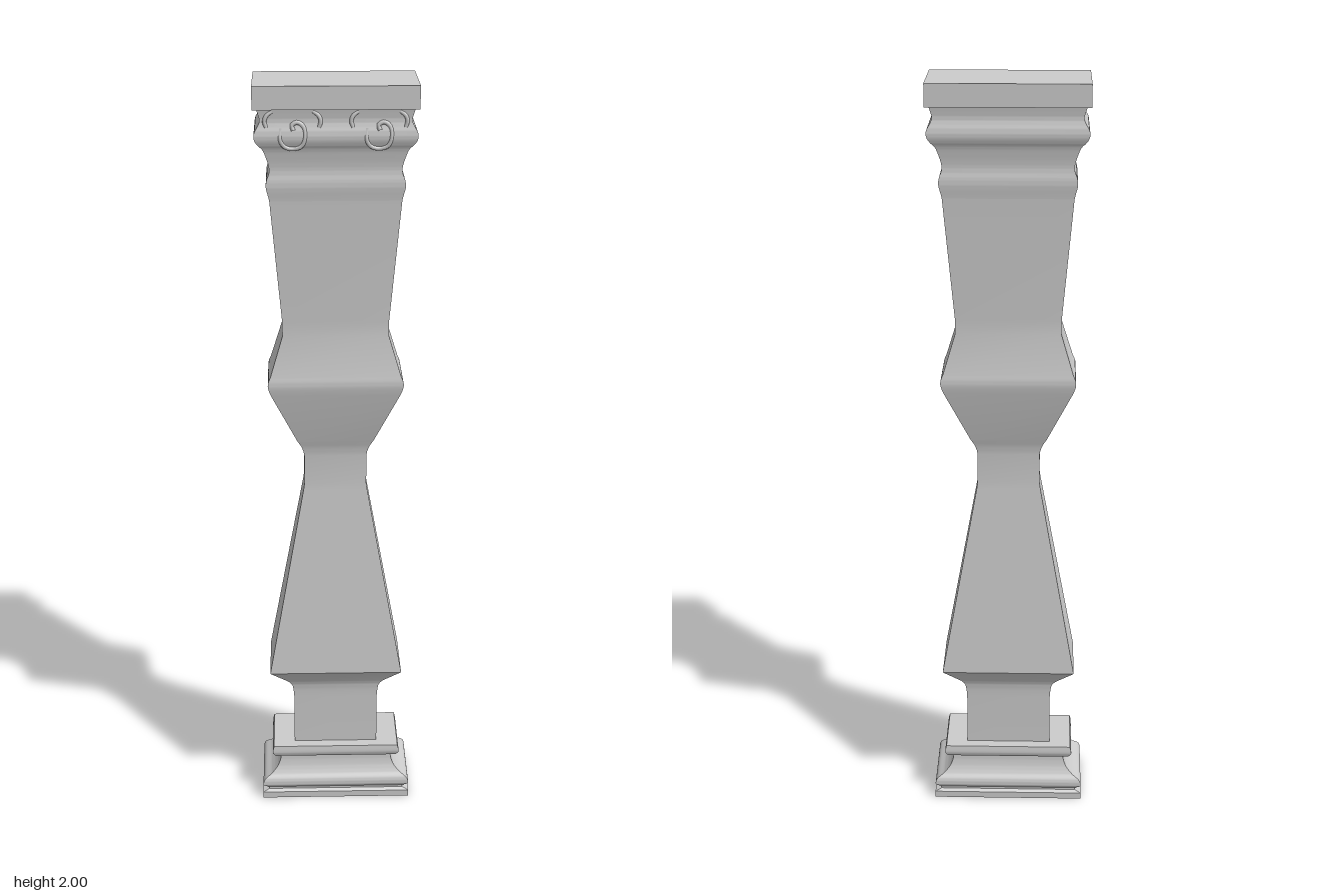
import * as THREE from 'three';
import { toCreasedNormals } from 'three/addons/utils/BufferGeometryUtils.js';

const DEPTH = 0.51; // depth of the rectangular section relative to its width
const mat = new THREE.MeshStandardMaterial({ color: 0xcccccc });

// Smooth moulding through a few [halfWidth, y] points
const curve = (pts, n = 20) =>
  new THREE.SplineCurve(pts.map(p => new THREE.Vector2(...p))).getPoints(n).map(p => [p.x, p.y]);

// Loft rectangular sections along a profile, capped at both ends
function rectLoft(name, profile) {
  const pos = [];
  const ring = ([w, y]) => [[w, 1], [w, -1], [-w, -1], [-w, 1]].map(([x, s]) => [x, y, s * w * DEPTH]).map(
    ([x, yy, z]) => [x, yy, z]);
  const rings = profile.map(ring).map(r => r.map(([x, y, z], i) => [x, y, (i === 1 || i === 2 ? -1 : 1) * Math.abs(z)]));
  const quad = (a, b, c, d) => [a, b, c, a, c, d].forEach(p => pos.push(...p));
  for (let i = 0; i < rings.length - 1; i++) {
    const lo = rings[i], hi = rings[i + 1];
    for (let k = 0; k < 4; k++) {
      const n = (k + 1) % 4;
      quad(lo[k], lo[n], hi[n], hi[k]);
    }
  }
  const top = rings[rings.length - 1], bot = rings[0];
  quad(top[0], top[1], top[2], top[3]);
  quad(bot[3], bot[2], bot[1], bot[0]);
  const geo = new THREE.BufferGeometry();
  geo.setAttribute('position', new THREE.Float32BufferAttribute(pos, 3));
  const mesh = new THREE.Mesh(toCreasedNormals(geo, 0.5), mat);
  mesh.name = name;
  return mesh;
}

// Round bar along a path lying on the capital's front
function bar(name, pts, radius) {
  const path = new THREE.CatmullRomCurve3(pts.map(p => new THREE.Vector3(...p)));
  const mesh = new THREE.Mesh(new THREE.TubeGeometry(path, 28, radius, 8), mat);
  mesh.name = name;
  return mesh;
}

// Carved ornament: a hooked curl between two short leaf tips
function ornament(side) {
  const g = new THREE.Group();
  g.name = side > 0 ? 'leftScroll' : 'rightScroll';
  const curl = [[-0.028, 1.897, 0.094], [-0.031, 1.872, 0.099], [-0.02, 1.853, 0.096], [0, 1.847, 0.093],
    [0.02, 1.853, 0.096], [0.03, 1.875, 0.099], [0.027, 1.9, 0.096], [0.012, 1.912, 0.096],
    [-0.002, 1.905, 0.097], [0.002, 1.893, 0.099]];
  g.add(bar('curl', curl, 0.0055));
  for (const s of [-1, 1]) {
    g.add(bar('leafTip', [[s * 0.05, 1.938, 0.094], [s * 0.063, 1.928, 0.096],
      [s * 0.068, 1.914, 0.096], [s * 0.064, 1.9, 0.095]], 0.005));
  }
  g.position.x = side * 0.105;
  return g;
}

export function createModel() {
  const model = new THREE.Group();
  model.name = 'baluster';

  // Moulded foot
  model.add(rectLoft('base', [
    [0.205, 0], [0.205, 0.018], [0.188, 0.024], [0.188, 0.03],
    ...curve([[0.193, 0.033], [0.204, 0.042], [0.2, 0.057], [0.187, 0.067]], 12),
    ...curve([[0.182, 0.07], [0.165, 0.088], [0.156, 0.108], [0.154, 0.122]], 12),
    [0.168, 0.125], ...curve([[0.17, 0.127], [0.177, 0.138], [0.173, 0.157]], 8),
  ]));

  // Neck, tapered lower body, waist, belly and flaring upper body
  model.add(rectLoft('shaft', [
    [0.115, 0.15], [0.115, 0.3],
    ...curve([[0.116, 0.315], [0.12, 0.338], [0.131, 0.353]], 6),
    [0.18, 0.392], [0.085, 0.92], [0.082, 0.94], [0.082, 1.02],
    ...curve([[0.084, 1.032], [0.09, 1.048], [0.1, 1.065]], 5),
    ...curve([[0.167, 1.205], [0.174, 1.225], [0.174, 1.24], [0.168, 1.255]], 8),
    [0.136, 1.36], [0.136, 1.4], [0.164, 1.715],
  ]));

  // Moulded head
  model.add(rectLoft('capital', [
    [0.164, 1.715],
    ...curve([[0.166, 1.725], [0.172, 1.75], [0.17, 1.768], [0.164, 1.785], [0.165, 1.805],
      [0.176, 1.838], [0.184, 1.85]], 28),
    ...curve([[0.188, 1.853], [0.198, 1.868], [0.199, 1.885], [0.19, 1.902], [0.185, 1.915],
      [0.188, 1.93], [0.193, 1.946]], 24),
  ]));
  model.add(rectLoft('abacus', [[0.203, 1.943], [0.203, 2]]));

  model.add(ornament(1), ornament(-1));
  return model;
}
